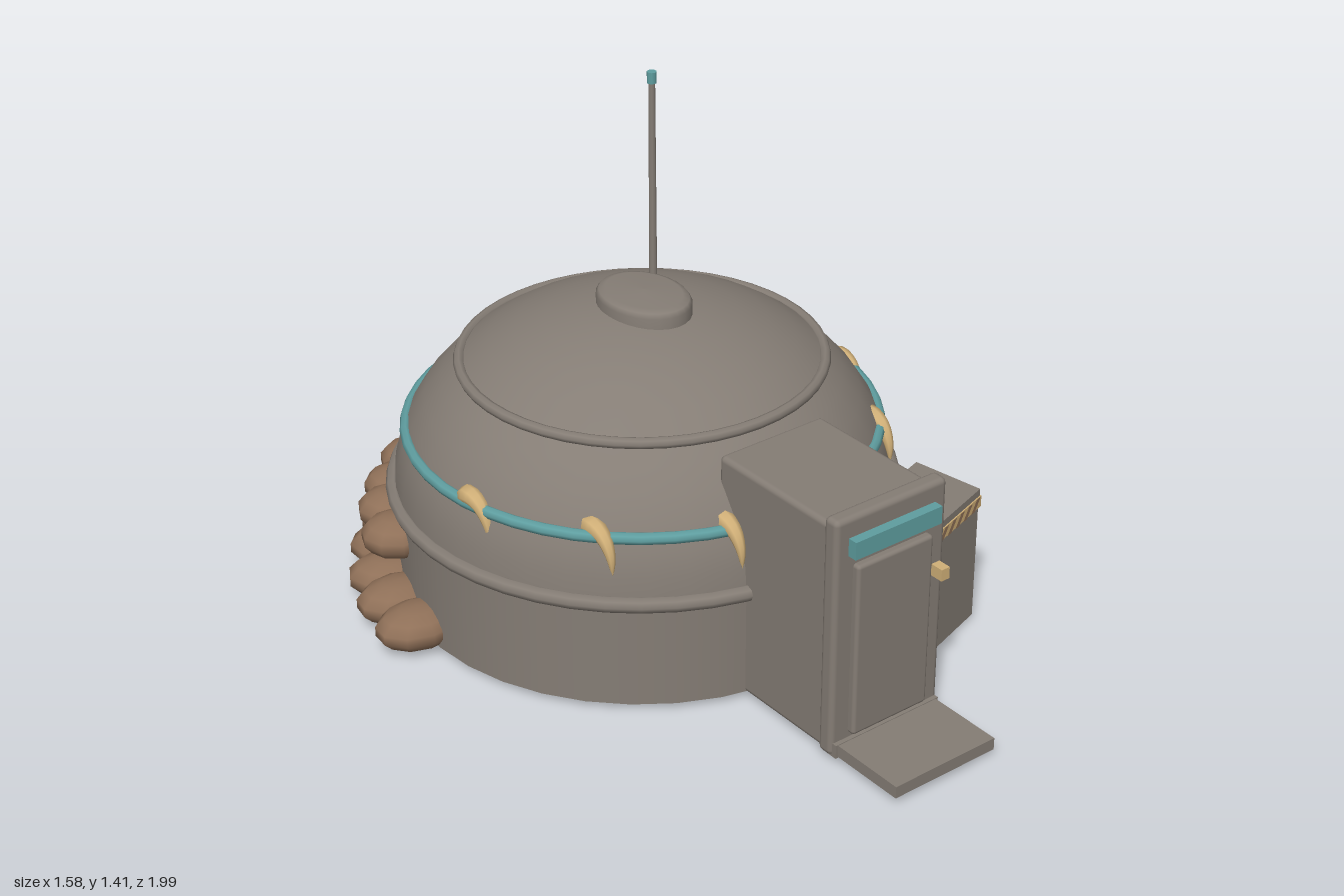
import * as THREE from 'three';
import { RoundedBoxGeometry } from 'three/addons/geometries/RoundedBoxGeometry.js';

const mat = (name, color) => {
  const m = new THREE.MeshStandardMaterial({ color });
  m.name = name;
  return m;
};

export function createModel() {
  const model = new THREE.Group();
  const grey = mat('stone grey', 0x857d75);
  const teal = mat('teal trim', 0x5f9ea0);
  const tan = mat('tan', 0xd1b078);
  const brown = mat('sack brown', 0x8f7058);

  const add = (name, geometry, material, x = 0, y = 0, z = 0, parent = model) => {
    const mesh = new THREE.Mesh(geometry, material);
    mesh.name = name;
    mesh.position.set(x, y, z);
    parent.add(mesh);
    return mesh;
  };
  // Box given by its extents
  const box = (name, material, [x0, x1], [y0, y1], [z0, z1], r = 0) => add(name,
    r ? new RoundedBoxGeometry(x1 - x0, y1 - y0, z1 - z0, 2, r)
      : new THREE.BoxGeometry(x1 - x0, y1 - y0, z1 - z0),
    material, (x0 + x1) / 2, (y0 + y1) / 2, (z0 + z1) / 2);

  // Round hut: wall, elliptical dome and bands
  const hut = new THREE.Group();
  hut.name = 'hut';
  hut.position.z = -0.2;
  model.add(hut);
  add('wall', new THREE.CylinderGeometry(0.66, 0.66, 0.3, 36), grey, 0, 0.17, 0, hut);
  const profile = [];
  for (let i = 0; i <= 12; i++) {
    const a = (i / 12) * Math.PI / 2;
    profile.push(new THREE.Vector2(i === 12 ? 0 : 0.66 * Math.cos(a), 0.32 + 0.5 * Math.sin(a)));
  }
  add('dome', new THREE.LatheGeometry(profile, 40), grey, 0, 0, 0, hut);
  const band = (name, r, tube, y, material) =>
    add(name, new THREE.TorusGeometry(r, tube, 8, 48).rotateX(Math.PI / 2), material, 0, y, 0, hut);
  band('lowerBand', 0.663, 0.021, 0.317, grey);
  band('tealBand', 0.623, 0.016, 0.483, teal);
  band('upperBand', 0.477, 0.015, 0.667, grey);

  // Oval roof cap and antenna
  const capProfile = [[0.112, 0], [0.112, 0.055], [0.105, 0.067], [0.09, 0.073], [0, 0.077]]
    .map(p => new THREE.Vector2(...p));
  add('roofCap', new THREE.LatheGeometry(capProfile, 28).scale(1, 1, 1.3), grey, 0, 0.78, 0.01, hut);
  add('antenna', new THREE.CylinderGeometry(0.009, 0.011, 0.6, 10), grey, 0.083, 1.09, -0.06, hut);
  add('antennaTip', new THREE.CylinderGeometry(0.013, 0.013, 0.03, 10), teal, 0.083, 1.397, -0.06, hut);

  // Curved horns hung along the teal band
  const curve = new THREE.CatmullRomCurve3([[0, -0.02, -0.07], [0, 0.015, -0.03],
    [0, 0.005, 0.02], [0, -0.035, 0.05], [0, -0.09, 0.06]].map(p => new THREE.Vector3(...p)));
  const steps = 12, sides = 8;
  const horn = new THREE.TubeGeometry(curve, steps, 0.034, sides);
  const pos = horn.attributes.position, v = new THREE.Vector3();
  for (let i = 0; i < pos.count; i++) {
    const t = Math.floor(i / (sides + 1)) / steps;
    const c = curve.getPointAt(t);
    v.fromBufferAttribute(pos, i).sub(c)
      .multiplyScalar(Math.min(1, Math.sqrt(t * 4)) * Math.pow(1 - t, 0.7)).add(c);
    pos.setXYZ(i, v.x, v.y, v.z);
  }
  horn.computeVertexNormals();
  for (const s of [-1, 1]) for (const deg of [17, 47, 79]) {
    const a = deg * Math.PI / 180;
    add('horn', horn, tan, s * 0.618 * Math.sin(a), 0.485, 0.61 * Math.cos(a), hut);
  }

  // Two rows of sandbags round the back
  const bag = new THREE.SphereGeometry(1, 10, 7);
  const row = (name, count, spread, r, y, depth) => {
    for (let i = 0; i < count; i++) {
      const a = (-spread + 2 * spread * i / (count - 1)) * Math.PI / 180;
      const m = add(name, bag, brown, r * Math.sin(a), y + 0.004 * Math.sin(i * 2.3), -r * Math.cos(a), hut);
      m.scale.set(0.09, 0.058, depth);
      m.rotation.y = -a + 0.12 * Math.sin(i * 1.7);
    }
  };
  row('lowerSandbag', 16, 84, 0.68, 0.064, 0.122);
  row('upperSandbag', 13, 67.5, 0.665, 0.226, 0.1);

  // Entrance: porch body, front frame, door and step
  box('entranceBody', grey, [-0.163, 0.163], [0.017, 0.655], [0.325, 0.75], 0.015);
  box('entranceFrame', grey, [-0.175, 0.175], [0.017, 0.68], [0.73, 0.778], 0.015);
  box('threshold', grey, [-0.167, 0.167], [0.017, 0.055], [0.76, 0.79]);
  box('door', grey, [-0.12, 0.12], [0.067, 0.55], [0.765, 0.798], 0.01);
  box('doorSign', teal, [-0.136, 0.136], [0.578, 0.626], [0.77, 0.804]);
  box('doorHandle', tan, [0.134, 0.16], [0.42, 0.452], [0.77, 0.815]);
  box('step', grey, [-0.16, 0.16], [0.02, 0.053], [0.79, 1.0]);

  // Crate with a striped band under its lid
  const crate = new THREE.Group();
  crate.name = 'crate';
  crate.position.set(0.413, 0, 0.46);
  model.add(crate);
  const corners = [[-0.127, -0.07], [-0.09, 0.14], [0.127, 0.07], [0.09, -0.14]];
  const prism = (name, material, s, y0, y1) => {
    const shape = new THREE.Shape(corners.map(([x, z]) => new THREE.Vector2(x * s, -z * s)));
    const g = new THREE.ExtrudeGeometry(shape, { depth: y1 - y0, bevelEnabled: false }).rotateX(-Math.PI / 2);
    add(name, g, material, 0, y0, 0, crate);
  };
  prism('crateBody', grey, 0.95, 0.017, 0.35);
  prism('crateBand', tan, 1, 0.348, 0.38);
  prism('crateLid', grey, 0.97, 0.38, 0.4);
  const stripe = new THREE.ShapeGeometry(new THREE.Shape([[-0.024, -0.016], [-0.004, -0.016],
    [0.024, 0.016], [0.004, 0.016]].map(p => new THREE.Vector2(...p))));
  corners.forEach(([ax, az], i) => {
    const [bx, bz] = corners[(i + 1) % 4];
    const side = new THREE.Group();
    side.name = 'crateStripes';
    side.position.set((ax + bx) / 2, 0.364, (az + bz) / 2);
    side.rotation.y = Math.atan2(az - bz, bx - ax);
    crate.add(side);
    for (let k = -2; k <= 2; k++) add('stripe', stripe, brown, k * 0.041, 0, 0.002, side);
  });

  return model;
}
